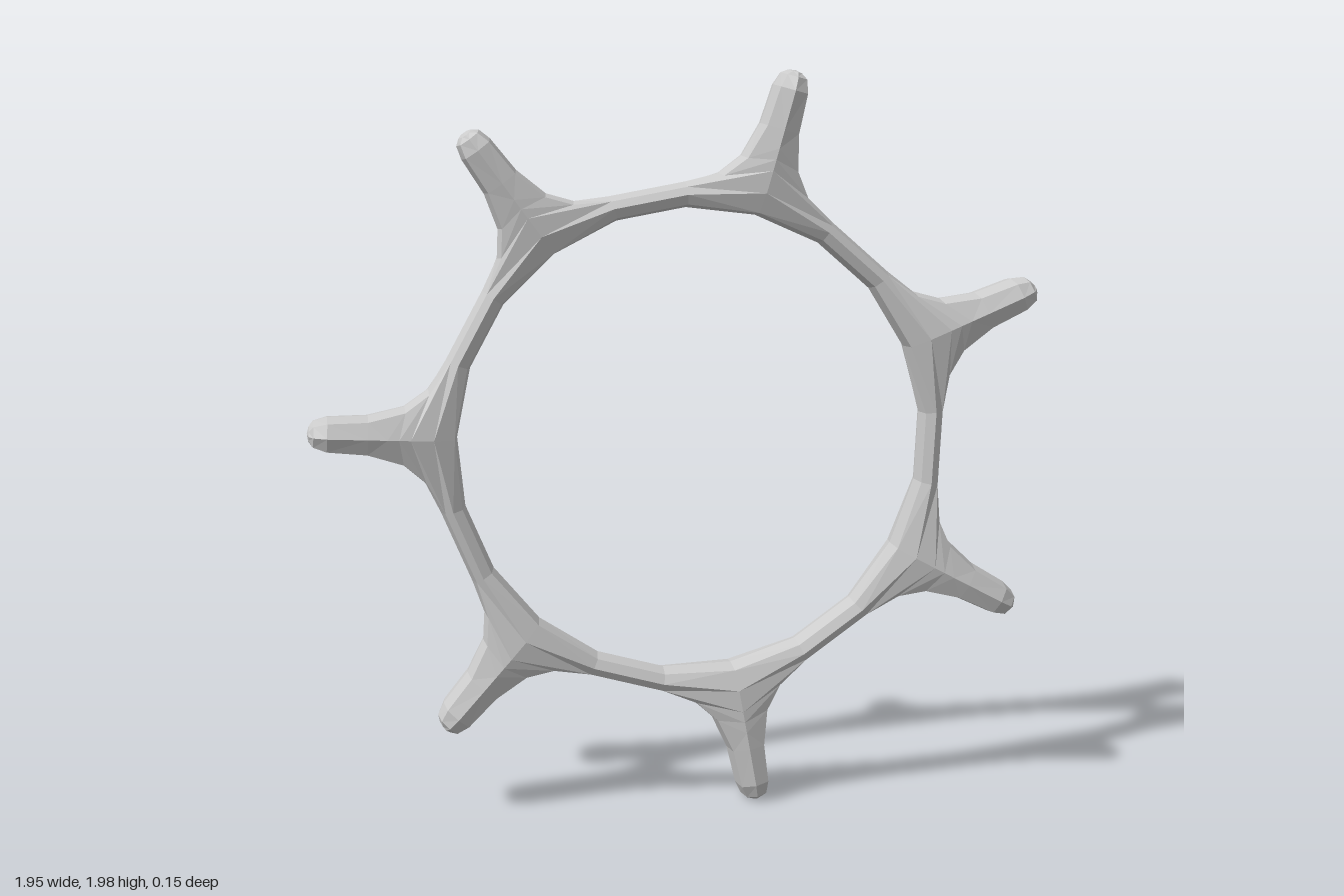
import * as THREE from 'three';

const COUNT = 7;
const STEP = (Math.PI * 2) / COUNT;
const FIRST = THREE.MathUtils.degToRad(22.9);

// Faceted solid from quads of one quarter, mirrored across the spoke axis and the ring plane
function mirroredGeometry(quads) {
  const pos = [];
  for (const sv of [1, -1]) for (const sz of [1, -1]) {
    for (const [a, b, c, d] of quads) {
      const order = sv * sz > 0 ? [a, b, c, a, c, d] : [a, c, b, a, d, c];
      for (const p of order) pos.push(p[0], p[1] * sv, p[2] * sz);
    }
  }
  const geo = new THREE.BufferGeometry();
  geo.setAttribute('position', new THREE.Float32BufferAttribute(pos, 3));
  geo.computeVertexNormals();
  return geo;
}

// Quads between two rows of points, the second row lying further along +v
function strip(a, b) {
  const quads = [];
  for (let i = 0; i < a.length - 1; i++) quads.push([a[i], a[i + 1], b[i + 1], b[i]]);
  return quads;
}

export function createModel() {
  const group = new THREE.Group();
  const material = new THREE.MeshStandardMaterial({ color: 0xcccccc, flatShading: true });

  // Ring half-section as [radius, depth], from inner edge to outer edge
  const section = [[0.625, 0], [0.636, 0.045], [0.662, 0.056], [0.682, 0.045], [0.692, 0]];
  const at = (angle, k) => section.map(([r, z]) => [r * k * Math.cos(angle), r * k * Math.sin(angle), z]);
  const hubEdge = at(STEP / 3, 1);
  const middle = at(STEP / 2, Math.cos(STEP / 6));

  // Hub where the spoke grows out of the ring
  const hubCentre = [[0.625, 0, 0], [0.635, 0, 0.058], [0.69, 0, 0.075], [0.75, 0, 0.077]];

  // Spoke stations as [distance, half width, half depth, edge depth]
  const stations = [
    [0.705, 0.125, 0.077, 0.05], [0.765, 0.078, 0.077, 0.056], [0.86, 0.052, 0.077, 0.06],
    [0.965, 0.046, 0.076, 0.06], [1.0, 0.036, 0.064, 0.05], [1.012, 0.02, 0.045, 0.035],
  ];
  // The centre line starts further out than the flared sides and catches up with them
  const centre = [hubCentre[3], ...stations.map(([u, , d], i) => [Math.max(u, [0.78, 0.81][i] ?? 0), 0, d])];
  const edge = [hubEdge[3], ...stations.map(([u, w, , e]) => [u, w - 0.009, e])];
  const side = [hubEdge[4], ...stations.map(([u, w]) => [u, w, 0])];
  const n = stations.length;

  const parts = {
    ringSection: mirroredGeometry(strip(hubEdge, middle)),
    hub: mirroredGeometry(strip(hubCentre, hubEdge.slice(0, 4))),
    spoke: mirroredGeometry([
      ...strip(centre, edge),
      ...strip(edge, side),
      [centre[n], [1.016, 0, 0], side[n], edge[n]], // rounded tip
    ]),
  };

  for (let i = 0; i < COUNT; i++) {
    const sector = new THREE.Group();
    sector.name = 'sector' + (i + 1);
    for (const [name, geo] of Object.entries(parts)) {
      const mesh = new THREE.Mesh(geo, material);
      mesh.name = name;
      sector.add(mesh);
    }
    sector.rotation.z = FIRST + i * STEP;
    sector.position.set(0.03, 1.01, 0);
    group.add(sector);
  }
  group.name = 'spokedRing';
  return group;
}
